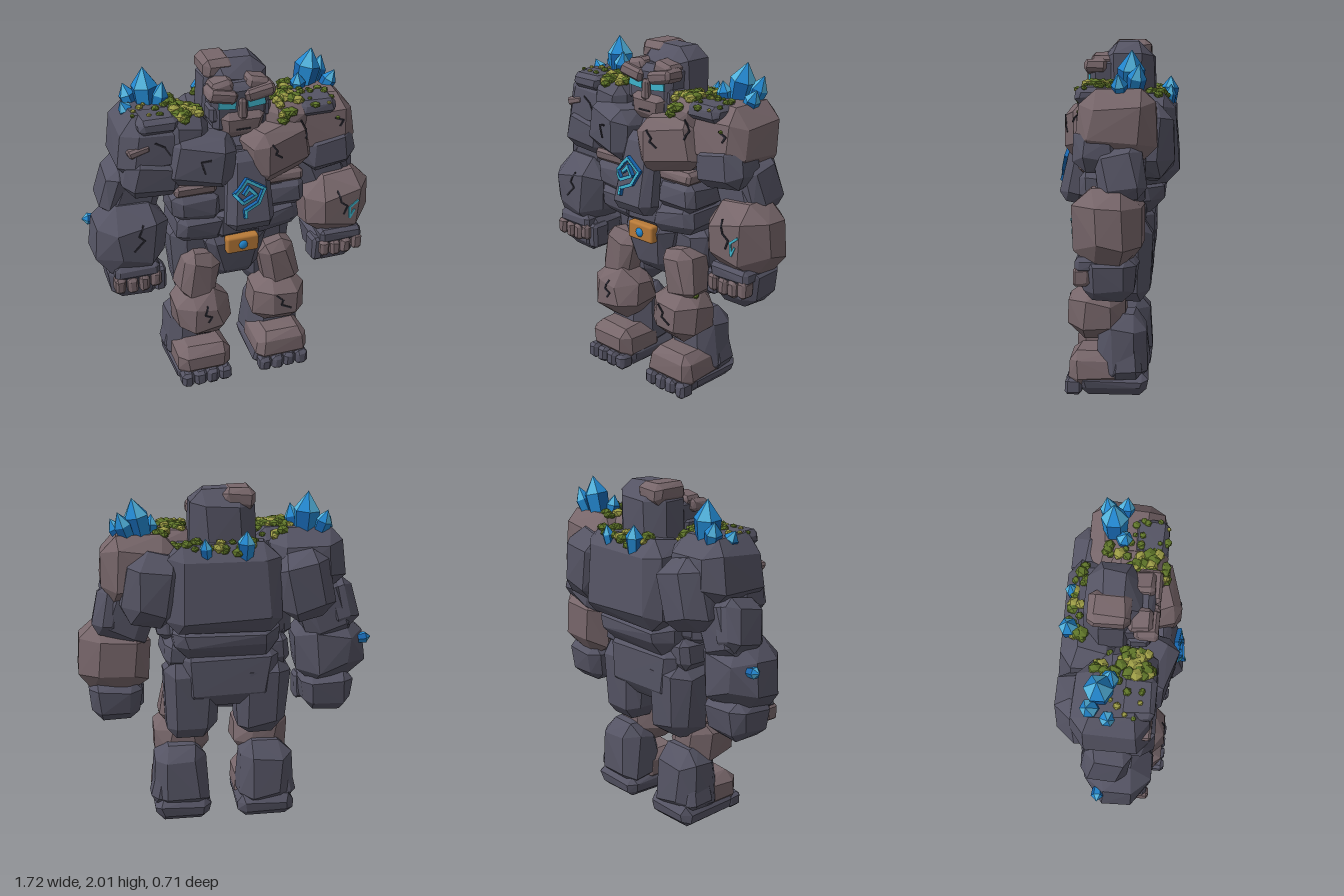
import * as THREE from 'three';
import { ConvexGeometry } from 'three/addons/geometries/ConvexGeometry.js';
import { RoundedBoxGeometry } from 'three/addons/geometries/RoundedBoxGeometry.js';
import { mergeGeometries } from 'three/addons/utils/BufferGeometryUtils.js';

export function createModel() {
  const group = new THREE.Group();
  group.name = 'stoneGolem';
  const paint = (name, color) => {
    const m = new THREE.MeshStandardMaterial({ color });
    m.name = name;
    return m;
  };
  const stone = paint('darkStone', 0x555464), earth = paint('brownStone', 0x77666a);
  const deep = paint('crystalDeep', 0x1766b0), blue = paint('crystalBlue', 0x2388d0);
  const pale = paint('crystalLight', 0x52b2dc);
  const glow = paint('glowCyan', 0x3fb4cc), gold = paint('beltGold', 0xb87a38);
  const mossDark = paint('mossGreen', 0x5f7529), mossLight = paint('mossYellow', 0x9a9a45);
  const dark = paint('crackDark', 0x2a2932);

  let seed = 7;
  const rand = () => (seed = (seed * 16807) % 2147483647) / 2147483647;
  const rocks = [];
  function add(name, geometry, material, pos = [0, 0, 0], rot = [0, 0, 0]) {
    const mesh = new THREE.Mesh(geometry, material);
    mesh.name = name;
    mesh.position.set(...pos);
    mesh.rotation.set(...rot);
    group.add(mesh);
    return mesh;
  }

  // Irregular bevelled boulder: hull of a box whose corners are jittered and cut off
  function rock(name, material, pos, size, { rot, c = 0.24, top = 1, bot = 1, jit = 0.09 } = {}) {
    const bevel = c * Math.min(...size), pts = [];
    for (const sx of [-1, 1]) for (const sy of [-1, 1]) for (const sz of [-1, 1]) {
      const s = [sx, sy, sz];
      const corner = s.map((k, i) => k * size[i] * 0.515 * (1 - jit * rand()));
      for (let a = 0; a < 3; a++) {
        const p = corner.map((v, i) => (i === a ? v : v - s[i] * bevel * (0.8 + 0.5 * rand())));
        const f = bot + (top - bot) * (p[1] / size[1] + 0.5);
        pts.push(new THREE.Vector3(p[0] * f, p[1], p[2] * f));
      }
    }
    rocks.push(add(name, new ConvexGeometry(pts), material, pos, rot));
  }

  // Torso and back
  rock('chestCore', stone, [0, 1.36, 0], [0.7, 0.58, 0.35]);
  rock('upperBack', stone, [0.03, 1.46, -0.19], [0.68, 0.5, 0.32], { rot: [0.06, 0, 0], top: 0.92, jit: 0.06 });
  rock('middleBack', stone, [0, 1.16, -0.13], [0.62, 0.25, 0.3], { c: 0.3 });
  rock('lowerBack', stone, [0, 0.92, -0.09], [0.6, 0.38, 0.27], { bot: 0.92 });
  rock('belly', stone, [0.01, 1.05, 0.07], [0.34, 0.22, 0.24]);
  rock('pelvis', stone, [0, 0.82, 0.05], [0.42, 0.34, 0.27], { bot: 0.6 });
  rock('sternum', stone, [0.03, 1.3, 0.225], [0.31, 0.46, 0.17],
    { rot: [-0.2, 0, 0], c: 0.28, top: 0.72, bot: 0.95, jit: 0.05 });

  for (const s of [-1, 1]) {
    const own = s > 0 ? earth : stone;
    rock('pectoral', own, [s * 0.215, 1.5, 0.145], [0.38, 0.31, 0.25], { rot: [0, s * 0.28, s * 0.12] });
    rock('shoulderBlade', stone, [s * 0.43, 1.46, -0.185], [0.33, 0.42, 0.29], { rot: [0, 0, s * 0.2], c: 0.28 });
    rock('upperRib', earth, [s * 0.26, 1.315, 0.1], [0.24, 0.075, 0.2]);
    rock('rib', stone, [s * 0.25, 1.2, 0.05], [0.29, 0.19, 0.3]);
    rock('flank', stone, [s * 0.22, 1.05, 0.01], [0.3, 0.18, 0.36], { rot: [0, 0, s * 0.1] });
    rock('hip', stone, [s * 0.205, 0.77, -0.07], [0.35, 0.48, 0.31], { bot: 0.82 });

    // Shoulders
    rock('shoulder', own, s > 0 ? [0.49, 1.57, -0.03] : [-0.45, 1.59, -0.03], [0.47, 0.37, 0.45],
      { c: 0.23, top: 0.88, jit: 0.07 });
    rock('neckLedge', own, [s * 0.29, 1.65, 0.05], [0.25, 0.22, 0.3]);
    rock('deltoid', stone, [s * 0.515 + 0.03, 1.43, 0.07], [0.34, 0.26, 0.27], { rot: [0, 0, s * 0.12] });
    rock('shoulderCap', stone, [s * 0.46, s > 0 ? 1.715 : 1.735, 0.1], [0.23, 0.09, 0.2], { c: 0.3 });

    // Arms
    rock('upperArm', stone, [s * 0.57, 1.29, -0.05], [0.31, 0.37, 0.26], { rot: [0, 0, s * 0.35] });
    rock('elbow', stone, [s * 0.665, 1.31, -0.05], [0.18, 0.3, 0.26], { rot: [0.15, 0, s * 0.22], c: 0.28 });
    rock('forearm', own, [s * 0.635 + 0.012, 1.03, 0.015], [0.41, 0.42, 0.37],
      { rot: [0, 0, s * 0.08], c: 0.28, jit: 0.06 });
    const hx = s * 0.63 + 0.02;
    rock('hand', stone, [hx, 0.76, 0.01], [0.33, 0.25, 0.33], { bot: 0.82 });
    rock('knuckles', stone, [hx, 0.84, 0.1], [0.27, 0.09, 0.17]);
    for (let i = 0; i < 4; i++) {
      const drop = [0, 0.01, 0.005, -0.01][i];
      rock('finger', earth, [hx - 0.105 + i * 0.07, 0.768 - drop, 0.15], [0.062, 0.1, 0.09]);
    }
    rock('thumb', stone, [hx - s * 0.14, 0.75, 0.1], [0.07, 0.16, 0.12]);

    // Legs
    const lx = s * 0.25 + 0.015;
    rock('thigh', earth, [lx, 0.71, 0.075], [0.22, 0.31, 0.25], { rot: [0, 0, s * 0.22] });
    rock('knee', earth, [lx - s * 0.01, 0.475, 0.103], [0.33, 0.32, 0.33],
      { rot: [0, 0, -s * 0.08], c: 0.27, jit: 0.07 });
    rock('shin', stone, [lx + s * 0.01, 0.26, -0.04], [0.36, 0.42, 0.32], { top: 0.82, c: 0.25 });
    rock('calfRidge', stone, [lx + s * 0.1, 0.25, -0.06], [0.16, 0.3, 0.2], { rot: [0, 0, s * 0.15], top: 0.7 });
    rock('sole', stone, [lx, 0.067, 0.015], [0.35, 0.14, 0.42], { c: 0.3, bot: 0.93 });
    rock('footTop', earth, [lx, 0.155, 0.105], [0.34, 0.2, 0.33], { c: 0.25, top: 0.93, jit: 0.06 });
    for (let i = 0; i < 4; i++)
      rock('toe', stone, [lx - 0.118 + i * 0.079, 0.052, 0.235], [0.078, 0.098, 0.1]);
  }
  rock('shoulderChip', earth, [-0.57, 1.6, 0.15], [0.13, 0.05, 0.07], { rot: [0, 0, 0.25] });

  // Head
  rock('skull', stone, [0.025, 1.79, -0.06], [0.38, 0.41, 0.31], { c: 0.27, jit: 0.04, top: 0.93 });
  rock('crownPatch', earth, [-0.065, 1.945, -0.075], [0.18, 0.115, 0.22], { c: 0.28, jit: 0.03 });
  rock('face', stone, [0.02, 1.76, 0.03], [0.34, 0.28, 0.25], { jit: 0.02, c: 0.14, bot: 0.9 });
  rock('jaw', earth, [0.025, 1.67, 0.1], [0.26, 0.155, 0.17], { jit: 0.04, bot: 0.85 });
  rock('nose', earth, [0.02, 1.765, 0.16], [0.055, 0.12, 0.06], { top: 0.7 });
  for (const s of [-1, 1]) {
    rock('brow', earth, [0.015 + s * 0.108, 1.847, 0.12], [0.175, 0.075, 0.13], { rot: [0, 0, s * 0.2] });
    rock('foreheadPlate', earth, [0.015 + s * 0.1, 1.885, 0.085], [0.13, 0.08, 0.13], { rot: [0, 0, s * -0.2] });
    rock('cheek', stone, [0.018 + s * 0.145, 1.735, 0.08], [0.07, 0.1, 0.12]);
  }

  // Belt buckle with gem
  add('beltBuckle', new RoundedBoxGeometry(0.195, 0.105, 0.06, 2, 0.015), gold, [0.01, 0.925, 0.185]);
  add('beltGem', new THREE.IcosahedronGeometry(0.028, 1).scale(1, 1, 0.5), blue, [0.01, 0.925, 0.216]);

  // Rays find the stone surface for painted lines and moss
  group.updateMatrixWorld(true);
  const caster = new THREE.Raycaster();
  function hit(origin, dir) {
    caster.set(new THREE.Vector3(...origin), new THREE.Vector3(...dir));
    return caster.intersectObjects(rocks, false)[0]?.point;
  }

  // Thin strip that follows the front of the stone through x, y points
  function trace(name, material, pts, width, lift = 0.001, depth = 0.009) {
    const parts = [], path = [];
    pts.forEach((p, i) => {
      if (i) path.push([(p[0] + pts[i - 1][0]) / 2, (p[1] + pts[i - 1][1]) / 2]);
      path.push(p);
    });
    const on = path.map(([x, y]) => hit([x, y, 2], [0, 0, -1])).filter(Boolean);
    for (let i = 1; i < on.length; i++) {
      const x = on[i].clone().sub(on[i - 1]), len = x.length();
      x.normalize();
      const z = new THREE.Vector3(0, 0, 1).addScaledVector(x, -x.z).normalize();
      const m = new THREE.Matrix4().makeBasis(x, z.clone().cross(x), z);
      m.setPosition(on[i].clone().add(on[i - 1]).multiplyScalar(0.5).addScaledVector(z, lift));
      parts.push(new THREE.BoxGeometry(len + width * 0.5, width, depth).applyMatrix4(m));
    }
    if (parts.length) add(name, mergeGeometries(parts), material);
  }
  for (const s of [-1, 1]) {
    const ex = 0.018 + s * 0.085;
    trace('eye', glow, [[ex - 0.04, 1.788 - s * 0.004], [ex + 0.04, 1.788 + s * 0.004]], 0.038, 0.005);
  }
  trace('mouth', dark, [[-0.02, 1.65], [0.06, 1.65]], 0.008);
  const rune = [[-0.02, 1.18], [-0.02, 1.22], [0.06, 1.255], [0.1, 1.33], [0.0, 1.39],
    [-0.07, 1.31], [-0.03, 1.265], [0.05, 1.3], [0.01, 1.345], [-0.02, 1.31]];
  trace('chestRuneEdge', deep, rune, 0.02, 0.008, 0.028);
  trace('chestRune', glow, rune, 0.013, 0.019);
  trace('armRune', glow, [[0.735, 1.08], [0.685, 1.04], [0.69, 0.97], [0.715, 1.02]], 0.013);
  const zigzags = [
    [[-0.2, 1.54], [-0.25, 1.53], [-0.23, 1.46]], [[0.15, 1.58], [0.18, 1.54], [0.17, 1.52], [0.21, 1.49]],
    [[-0.57, 1.15], [-0.6, 1.09], [-0.57, 1.06], [-0.63, 1.0]], [[0.61, 1.15], [0.63, 1.08], [0.67, 1.05], [0.65, 1.0]],
    [[-0.22, 0.56], [-0.24, 0.51], [-0.2, 0.49], [-0.22, 0.46]], [[0.21, 0.55], [0.25, 0.51], [0.24, 0.48], [0.3, 0.45]],
    [[-0.48, 1.64], [-0.43, 1.61], [-0.4, 1.56]], [[0.35, 1.66], [0.38, 1.6], [0.37, 1.56]],
    [[0.57, 1.63], [0.62, 1.61], [0.6, 1.58]],
  ];
  zigzags.forEach((z) => trace('crack', dark, z, 0.01));

  // Moss clumps dropped onto the shoulders and back
  const clumps = [[], []];
  function clump(x, y, z, size = 1) {
    const r = size * (0.02 + 0.022 * rand());
    const g = new THREE.IcosahedronGeometry(r, 0).rotateZ(rand() * 3).rotateY(rand() * 3);
    clumps[rand() < 0.28 ? 1 : 0].push(g.scale(1, 0.75, 1).translate(x, y, z));
  }
  function moss(cx, cz, rx, rz, count, size) {
    for (let i = 0; i < count; i++) {
      const a = rand() * Math.PI * 2, d = Math.sqrt(rand());
      const p = hit([cx + rx * d * Math.cos(a), 3, cz + rz * d * Math.sin(a)], [0, -1, 0]);
      if (p && p.y < 1.82 && p.y > 1.6) clump(p.x, p.y + 0.004, p.z, size);
    }
  }
  moss(-0.29, 0.02, 0.1, 0.16, 46);
  moss(-0.42, 0.04, 0.17, 0.14, 16, 0.6);
  moss(0.28, 0.09, 0.08, 0.14, 32);
  moss(0.34, -0.06, 0.08, 0.08, 8);
  moss(0.45, 0.1, 0.17, 0.14, 20, 0.65);
  moss(0.05, -0.24, 0.24, 0.07, 36);
  for (let i = 0; i < 3; i++) clump(0.34 + 0.012 * i, 0.62 - 0.008 * i, 0.12, 0.7);
  add('moss', mergeGeometries(clumps[0]), mossDark);
  add('mossHighlights', mergeGeometries(clumps[1]), mossLight);

  // Six-sided crystals with facets in alternating blues: base, height, radius, tilt x, tilt z
  function facets(name, geometry, materials, y) {
    const flat = geometry.toNonIndexed(), per = flat.attributes.position.count / 6;
    flat.computeVertexNormals();
    flat.clearGroups();
    for (let i = 0; i < 6; i++) flat.addGroup(i * per, per, i % 2);
    const mesh = new THREE.Mesh(flat, materials);
    mesh.name = name;
    mesh.position.y = y;
    return mesh;
  }
  const crystals = [
    [[-0.45, 1.7, -0.09], 0.27, 0.078, -0.05, 0.06], [[-0.41, 1.71, -0.06], 0.19, 0.05, 0.1, -0.2],
    [[-0.52, 1.71, -0.12], 0.17, 0.05, -0.2, 0.3], [[-0.55, 1.7, -0.05], 0.13, 0.042, 0.1, 0.5],
    [[0.47, 1.7, -0.09], 0.26, 0.075, -0.05, -0.22], [[0.54, 1.7, -0.11], 0.2, 0.052, -0.2, -0.35],
    [[0.57, 1.69, -0.05], 0.16, 0.046, 0.1, -0.5], [[0.43, 1.7, -0.05], 0.15, 0.045, 0.15, 0.1],
    [[-0.08, 1.62, -0.285], 0.175, 0.052, -0.08, 0.05], [[0.13, 1.62, -0.285], 0.14, 0.036, -0.15, -0.1],
    [[-0.785, 1.085, -0.09], 0.08, 0.034, 0, 1.45],
  ];
  for (const [base, h, r, tx, tz] of crystals) {
    const c = new THREE.Group();
    c.name = 'crystal';
    c.add(facets('crystalShaft', new THREE.CylinderGeometry(r, r * 0.8, h * 0.6, 6, 1, true), [deep, blue], h * 0.3));
    c.add(facets('crystalTip', new THREE.ConeGeometry(r, h * 0.4, 6, 1, true), [blue, pale], h * 0.8));
    c.position.set(...base);
    c.rotation.set(tx, 0, tz);
    group.add(c);
  }
  return group;
}
